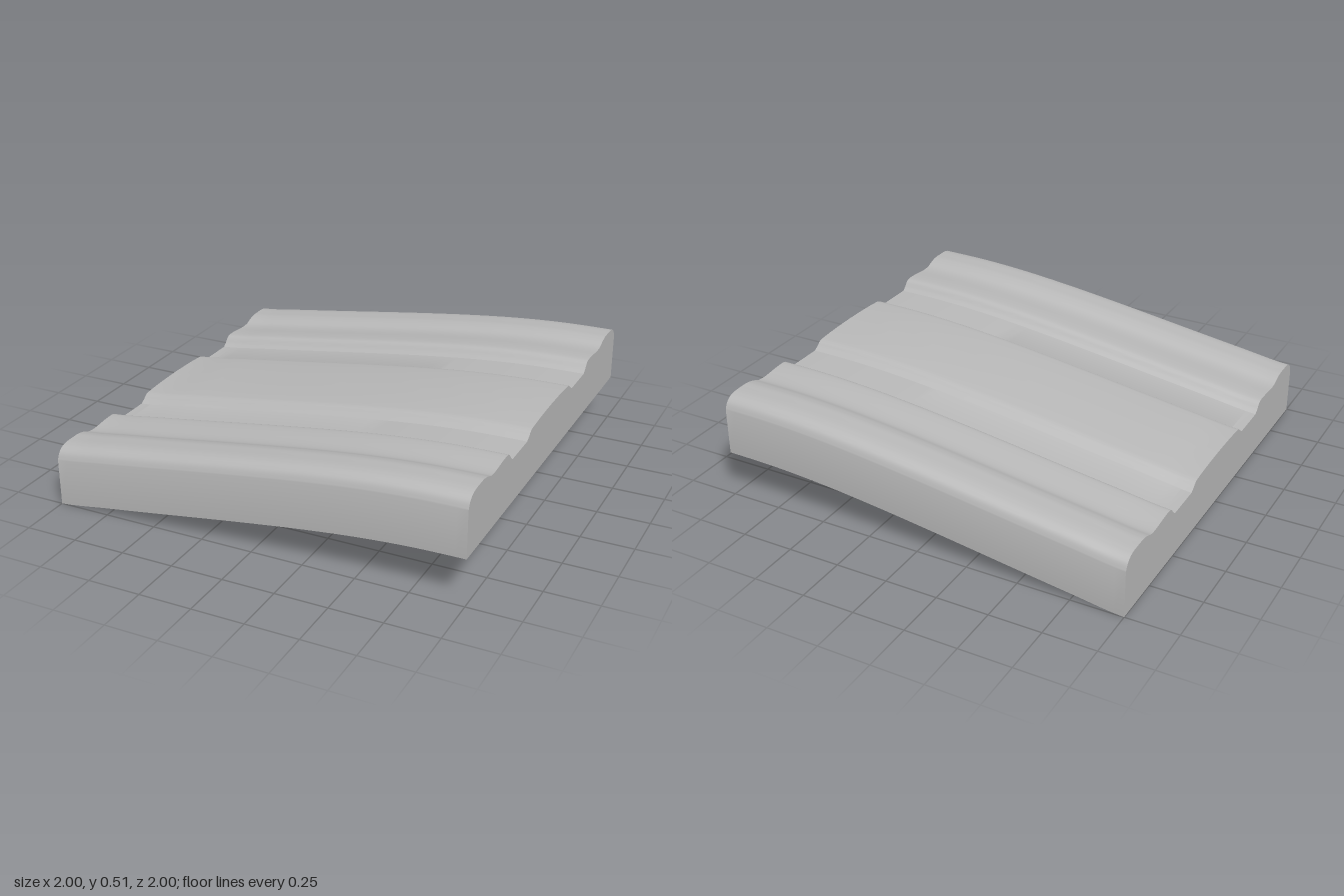
import * as THREE from 'three';
import { toCreasedNormals } from 'three/addons/utils/BufferGeometryUtils.js';

const v = (x, y) => new THREE.Vector2(x, y);

// Smooth run of points through a few [across, height] pairs
const smooth = (pairs, n) => new THREE.SplineCurve(pairs.map(p => v(...p))).getPoints(n);

// Half of the cross-section, from the outer edge to the middle
function halfProfile() {
  const rim = smooth([
    [1, 0.225], [0.985, 0.257], [0.957, 0.278], [0.92, 0.286], [0.87, 0.287], [0.83, 0.286],
    [0.79, 0.277], [0.75, 0.262], [0.7, 0.259], [0.62, 0.266], [0.56, 0.267], [0.535, 0.257],
    [0.515, 0.235], [0.495, 0.219],
  ], 52);
  const crown = smooth([
    [0.31, 0.219], [0.285, 0.235], [0.262, 0.252], [0.22, 0.258], [0.12, 0.263], [0, 0.265],
  ], 24);
  return [...rim, ...crown];
}

export function createModel() {
  const group = new THREE.Group();
  const surface = new THREE.MeshStandardMaterial({ color: 0xb8b8b8 });
  surface.name = 'plain grey';

  // Mirrored moulding section
  const half = halfProfile();
  const mirrored = half.slice(0, -1).reverse().map(p => v(-p.x, p.y));
  const shape = new THREE.Shape([v(-1, 0), v(1, 0), ...half, ...mirrored]);

  // Sweep along x
  const geometry = new THREE.ExtrudeGeometry(shape, { depth: 2, steps: 40, bevelEnabled: false });
  geometry.translate(0, 0, -1);
  geometry.rotateY(Math.PI / 2);

  // Lift the slab along a rising curve that levels off at the left end
  const rise = new THREE.SplineCurve([
    v(-1, 0), v(-0.75, 0.034), v(-0.5, 0.07), v(-0.25, 0.107), v(0, 0.143),
    v(0.25, 0.176), v(0.5, 0.203), v(0.75, 0.22), v(1, 0.225),
  ]);
  const pos = geometry.attributes.position;
  for (let i = 0; i < pos.count; i++) {
    const t = THREE.MathUtils.clamp((pos.getX(i) + 1) / 2, 0, 1);
    pos.setY(i, pos.getY(i) + rise.getPoint(t).y);
  }

  const slab = new THREE.Mesh(toCreasedNormals(geometry, THREE.MathUtils.degToRad(32)), surface);
  slab.name = 'mouldedSlab';
  group.add(slab);
  return group;
}
